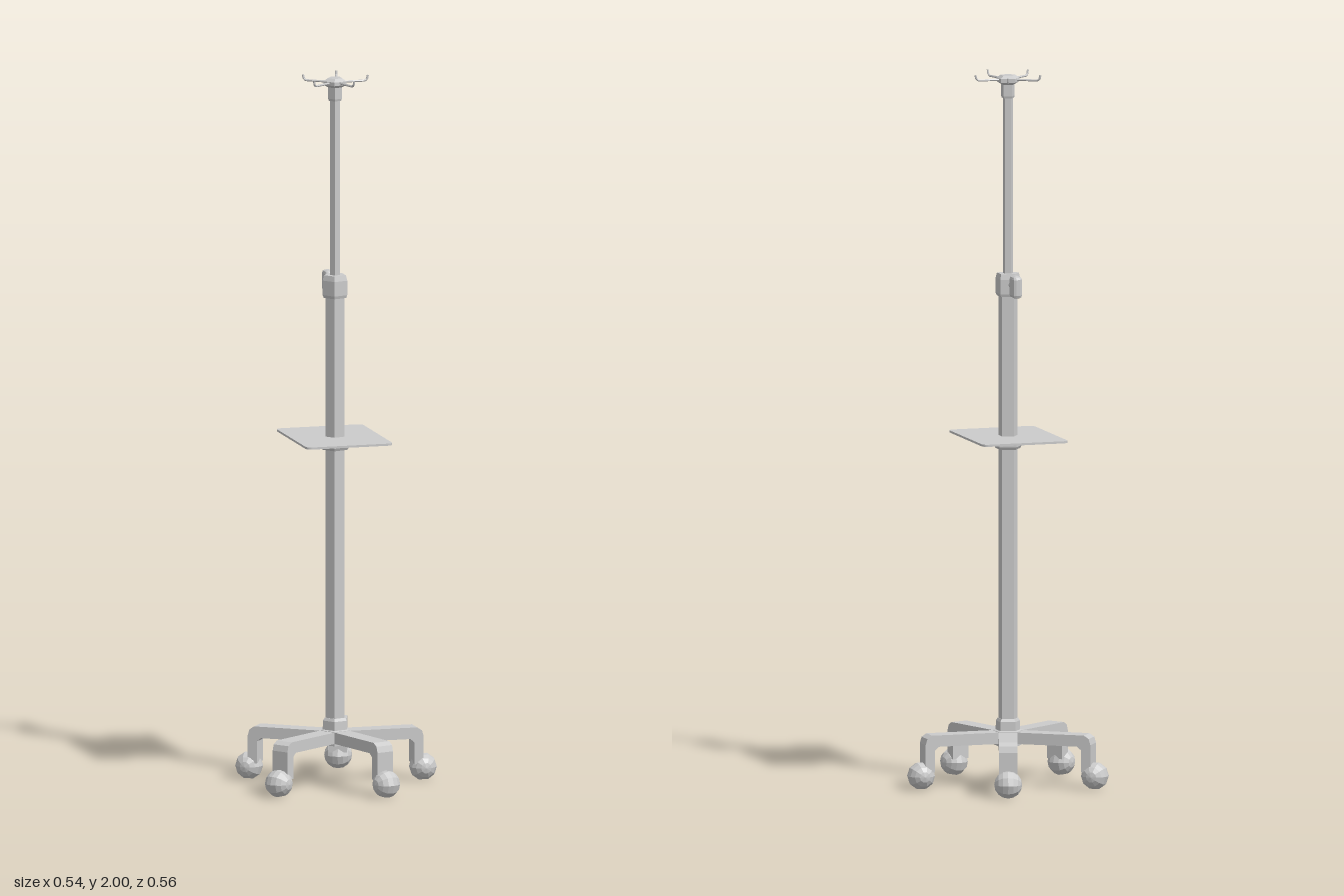
import * as THREE from 'three';
import { RoundedBoxGeometry } from 'three/addons/geometries/RoundedBoxGeometry.js';

const material = new THREE.MeshStandardMaterial({ color: 0xcccccc, flatShading: true });
const AXIS_X = -0.024;   // the column stands slightly off centre
const STEP = Math.PI * 2 / 5;

function add(parent, name, geometry, x = 0, y = 0, z = 0) {
  const mesh = new THREE.Mesh(geometry, material);
  mesh.name = name;
  mesh.position.set(x, y, z);
  parent.add(mesh);
  return mesh;
}

// Five-sided turned part from [radius, height] pairs, a flat side facing +x
function pentagon(profile) {
  const pts = profile.map(([r, y]) => new THREE.Vector2(r, y));
  pts.unshift(new THREE.Vector2(0, profile[0][1]));
  pts.push(new THREE.Vector2(0, profile[profile.length - 1][1]));
  return new THREE.LatheGeometry(pts, 5, -Math.PI / 2);
}

// Flat arm that bends down into a short leg, seen from the side
function armGeometry(width) {
  const s = new THREE.Shape();
  s.moveTo(0, 0.122);
  s.lineTo(0.21, 0.122);
  s.lineTo(0.222, 0.112);
  s.lineTo(0.222, 0.05);
  s.lineTo(0.249, 0.05);
  s.lineTo(0.249, 0.128);
  s.lineTo(0.244, 0.145);
  s.lineTo(0.23, 0.154);
  s.lineTo(0, 0.154);
  const g = new THREE.ExtrudeGeometry(s, { depth: width, bevelEnabled: false });
  return g.translate(0, 0, -width / 2);
}

// Thin tray with rounded corners, lying flat
function trayGeometry(w, d, h, r) {
  const s = new THREE.Shape();
  const x = w / 2, y = d / 2;
  s.moveTo(-x + r, -y);
  s.lineTo(x - r, -y);
  s.absarc(x - r, -y + r, r, -Math.PI / 2, 0);
  s.absarc(x - r, y - r, r, 0, Math.PI / 2);
  s.absarc(-x + r, y - r, r, Math.PI / 2, Math.PI);
  s.absarc(-x + r, -y + r, r, Math.PI, Math.PI * 1.5);
  const g = new THREE.ExtrudeGeometry(s, { depth: h, bevelEnabled: false, curveSegments: 4 });
  return g.rotateX(-Math.PI / 2);
}

export function createModel() {
  const model = new THREE.Group();
  model.name = 'rollingStand';
  const stand = new THREE.Group();
  stand.name = 'stand';
  stand.position.x = AXIS_X;
  model.add(stand);

  // Column, telescoping pole and their collars
  add(stand, 'baseHub', pentagon([[0.044, 0.115], [0.044, 0.155], [0.036, 0.157], [0.035, 0.182], [0.03, 0.19]]));
  add(stand, 'column', pentagon([[0.028, 0.15], [0.028, 1.4]]));
  add(stand, 'trayCollar', pentagon([[0.036, 0.947], [0.041, 0.955], [0.041, 0.98]]));
  add(stand, 'clampCollar', pentagon([[0.033, 1.376], [0.036, 1.384], [0.036, 1.425], [0.032, 1.44]]));
  add(stand, 'pole', pentagon([[0.015, 1.42], [0.015, 1.95]]));
  add(stand, 'poleCap', pentagon([[0.018, 1.932], [0.02, 1.938], [0.02, 1.97]]));
  add(stand, 'hookHub', pentagon([[0.02, 1.97], [0.034, 1.978], [0.034, 1.988], [0.021, 1.996]]));

  // Tray
  add(model, 'tray', trayGeometry(0.25, 0.315, 0.006, 0.016), -0.025, 0.978, -0.002);

  // Clamp knob behind the collar
  const stem = new THREE.CylinderGeometry(0.008, 0.008, 0.04, 8).rotateX(Math.PI / 2);
  add(stand, 'knobStem', stem, 0, 1.41, -0.04);
  add(stand, 'knob', new RoundedBoxGeometry(0.028, 0.062, 0.043, 1, 0.009), 0, 1.41, -0.07);

  // Five legs with ball casters, and five hooks above them
  const arm = armGeometry(0.052);
  const ball = new THREE.SphereGeometry(0.039, 10, 8).rotateX(Math.PI / 2);
  const path = new THREE.CurvePath();
  const corners = [[0.02, 1.984], [0.084, 1.984], [0.092, 1.987], [0.095, 2]]
    .map(([x, y]) => new THREE.Vector3(x, y, 0));
  for (let i = 0; i < 3; i++) path.add(new THREE.LineCurve3(corners[i], corners[i + 1]));
  const hook = new THREE.TubeGeometry(path, 16, 0.0032, 6);
  for (let i = 0; i < 5; i++) {
    const leg = new THREE.Group();
    leg.name = 'leg' + (i + 1);
    leg.rotation.y = i * STEP;
    stand.add(leg);
    add(leg, 'arm', arm);
    add(leg, 'caster', ball, 0.254, 0.039, 0);
    const hookMesh = add(stand, 'hook' + (i + 1), hook);
    hookMesh.rotation.y = i * STEP;
  }
  return model;
}
